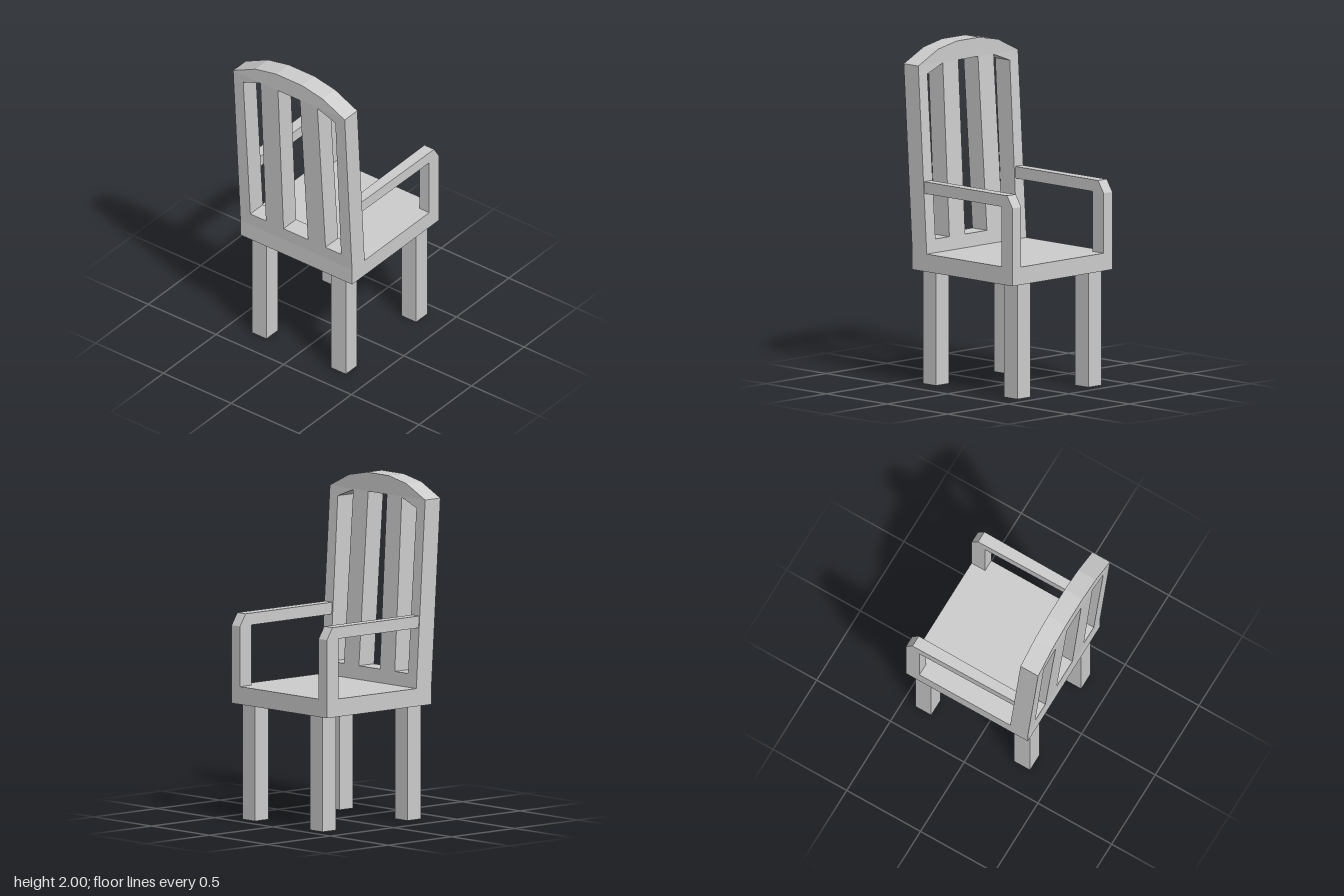
import * as THREE from 'three';

const material = new THREE.MeshStandardMaterial({ color: 0xcccccc, flatShading: true });
const vectors = (points) => points.map(([a, b]) => new THREE.Vector2(a, b));

function addMesh(group, name, geometry) {
  const mesh = new THREE.Mesh(geometry, material);
  mesh.name = name;
  group.add(mesh);
  return mesh;
}

function addBox(group, name, [x0, x1], [y0, y1], [z0, z1]) {
  const mesh = addMesh(group, name, new THREE.BoxGeometry(x1 - x0, y1 - y0, z1 - z0));
  mesh.position.set((x0 + x1) / 2, (y0 + y1) / 2, (z0 + z1) / 2);
}

// Extrudes an outline with holes along z
function extrude(points, depth, holes = []) {
  const shape = new THREE.Shape(vectors(points));
  shape.holes = holes.map((hole) => new THREE.Path(vectors(hole)));
  return new THREE.ExtrudeGeometry(shape, { depth, bevelEnabled: false });
}

// Moves every vertex by a rule and refreshes the normals
function deform(geometry, rule) {
  const position = geometry.attributes.position;
  const v = new THREE.Vector3();
  for (let i = 0; i < position.count; i++) {
    rule(v.fromBufferAttribute(position, i));
    position.setXYZ(i, v.x, v.y, v.z);
  }
  geometry.computeVertexNormals();
  return geometry;
}

const SEAT_TOP = 0.785, SHOULDER = 1.89, HALF = 0.412;

// Back part drawn in (z, y), turned to face +x and leaning back up to the shoulder
function backPart(points, holes) {
  const geometry = extrude(points, 0.12, holes).rotateY(-Math.PI / 2).translate(-0.26, 0, 0);
  return deform(geometry, (v) => {
    v.x -= 0.07 * THREE.MathUtils.clamp((v.y - SEAT_TOP) / (SHOULDER - SEAT_TOP), 0, 1);
  });
}

export function createModel() {
  const chair = new THREE.Group();
  chair.name = 'armchair';

  // Seat
  addBox(chair, 'seat', [-0.38, 0.447], [0.68, SEAT_TOP], [-HALF, HALF]);

  // Back frame with two slats between three windows
  const sideWindow = [[0.335, 0.865], [0.22, 0.865], [0.21, 1.885], [0.34, 1.835]];
  const middleWindow = [[-0.09, 0.865], [0.09, 0.865], [0.081, 1.888], [-0.081, 1.888]];
  const mirrored = sideWindow.map(([z, y]) => [-z, y]);
  addMesh(chair, 'backFrame', backPart(
    [[-HALF, SEAT_TOP], [HALF, SEAT_TOP], [HALF, SHOULDER], [-HALF, SHOULDER]],
    [sideWindow, middleWindow, mirrored]));

  // Faceted arched crest
  addMesh(chair, 'backCrest', backPart(
    [[-HALF, SHOULDER], [HALF, SHOULDER], [0.247, 1.97], [0.095, 2], [-0.095, 2], [-0.247, 1.97]]));

  for (const side of [1, -1]) {
    const label = side > 0 ? 'left' : 'right';

    // Arm: post and rail in one piece, chamfered at the front, slimmer towards the back
    const arm = extrude([
      [0.447, SEAT_TOP], [0.447, 1.14], [0.402, 1.21], [-0.32, 1.21],
      [-0.32, 1.14], [0.355, 1.14], [0.355, SEAT_TOP],
    ], 0.072).translate(0, 0, -0.036);
    deform(arm, (v) => {
      v.z *= 1 - 0.16 * THREE.MathUtils.clamp((0.355 - v.x) / 0.64, 0, 1);
    });
    addMesh(chair, label + 'Arm', arm).position.z = side * (HALF - 0.036);

    // Legs
    for (const [end, x] of [['Front', 0.368], ['Back', -0.302]]) {
      const z = side * 0.293;
      addBox(chair, label + end + 'Leg', [x - 0.054, x + 0.054], [0, 0.68], [z - 0.054, z + 0.054]);
    }
  }
  return chair;
}
